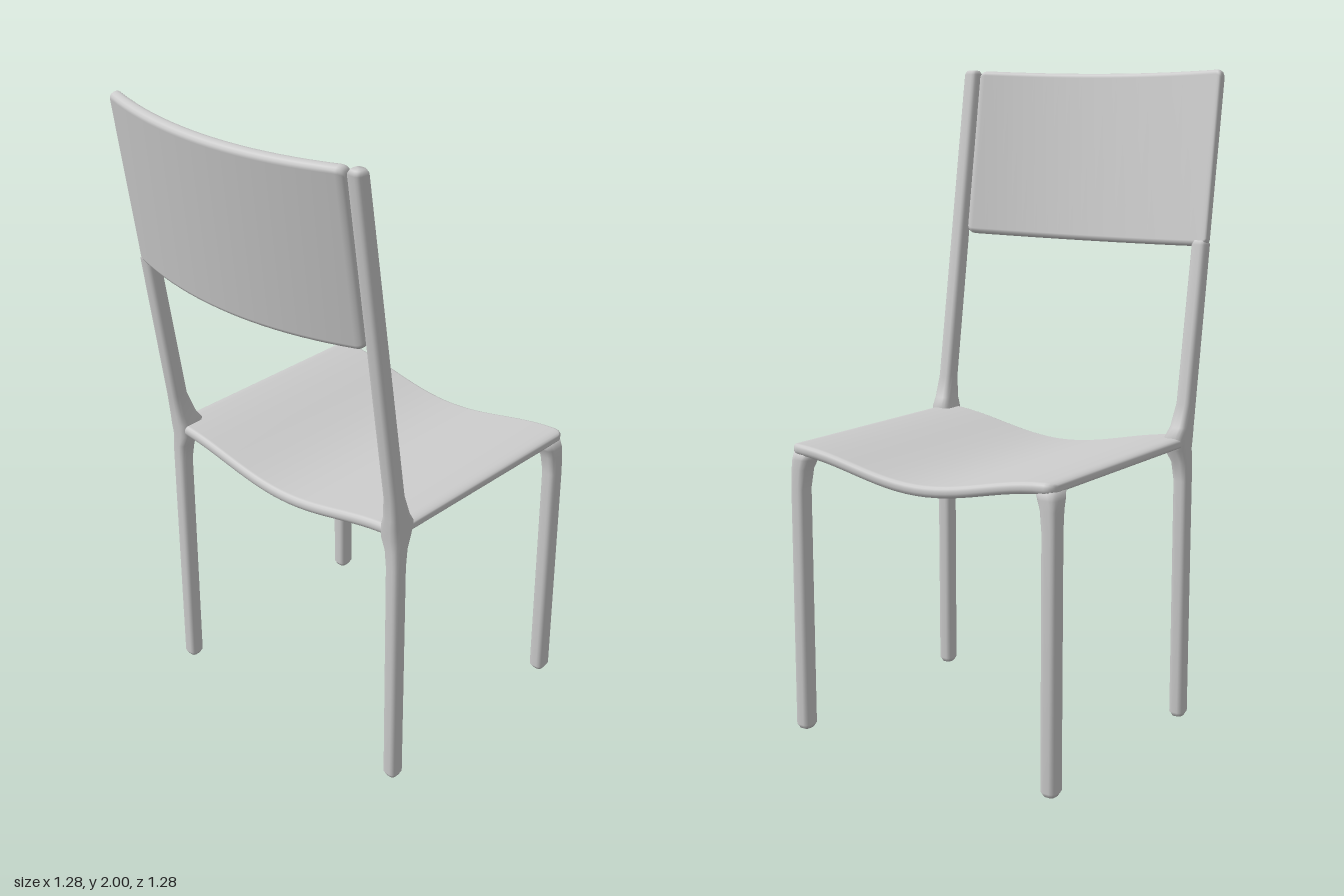
import * as THREE from 'three';

const material = new THREE.MeshStandardMaterial({ color: 0xcccccc });

// Rounded-rectangle outline, counterclockwise, as [a, b] pairs
function ring(ha, hb, r) {
  const pts = [];
  const signs = [[1, 1], [-1, 1], [-1, -1], [1, -1]];
  signs.forEach(([sa, sb], q) => {
    for (let i = 0; i < 4; i++) {
      const t = (q + i / 3) * Math.PI / 2;
      pts.push([sa * (ha - r) + r * Math.cos(t), sb * (hb - r) + r * Math.sin(t)]);
    }
  });
  return pts;
}

// Skin a closed solid over sections { o: centre, ha, hb, r }; axes a x b point along the sweep
function loft(name, sections, a, b) {
  const pos = [], index = [], n = 16;
  const put = (o, p, q) => pos.push(...o.clone().addScaledVector(a, p).addScaledVector(b, q).toArray());
  for (const s of sections) for (const [p, q] of ring(s.ha, s.hb, s.r)) put(s.o, p, q);
  for (let k = 0; k < sections.length - 1; k++) {
    for (let i = 0; i < n; i++) {
      const p = k * n + i, q = k * n + (i + 1) % n;
      index.push(p, q, q + n, p, q + n, p + n);
    }
  }
  // End caps
  const last = sections.length - 1, c0 = pos.length / 3;
  put(sections[0].o, 0, 0);
  put(sections[last].o, 0, 0);
  for (let i = 0; i < n; i++) {
    const j = (i + 1) % n;
    index.push(c0, j, i, c0 + 1, last * n + i, last * n + j);
  }
  const geo = new THREE.BufferGeometry();
  geo.setAttribute('position', new THREE.Float32BufferAttribute(pos, 3));
  geo.setIndex(index);
  geo.computeVertexNormals();
  const mesh = new THREE.Mesh(geo, material);
  mesh.name = name;
  return mesh;
}

const X = new THREE.Vector3(1, 0, 0);
const Y = new THREE.Vector3(0, 1, 0);
const Z = new THREE.Vector3(0, 0, 1);

// Upright member from rows [y, x, z, halfX, halfZ], mirrored by side
function upright(name, side, rows) {
  return loft(name, rows.map(([y, x, z, hx, hz]) => ({
    o: new THREE.Vector3(side * x, y, z), ha: hz, hb: hx, r: Math.min(hx, hz) * 0.65,
  })), Z, X);
}

// Stations along x with rounded ends: [x, inset]
function stations(x0, x1, r, steps) {
  const list = [];
  for (let i = 0; i < 4; i++) {
    const t = i / 4 * Math.PI / 2;
    list.push([x0 + r * (1 - Math.cos(t)), r * (1 - Math.sin(t))]);
  }
  for (let i = 0; i <= steps; i++) list.push([x0 + r + (x1 - x0 - 2 * r) * i / steps, 0]);
  for (let i = 3; i >= 0; i--) {
    const t = i / 4 * Math.PI / 2;
    list.push([x1 - r * (1 - Math.cos(t)), r * (1 - Math.sin(t))]);
  }
  return list;
}

export function createModel() {
  const model = new THREE.Group();
  const chair = new THREE.Group();
  chair.name = 'chair';
  chair.rotation.y = THREE.MathUtils.degToRad(119.4);
  model.add(chair);

  // Seat: thin sheet dished across its width
  const half = 0.0175;
  chair.add(loft('seat', stations(-0.468, 0.468, 0.03, 24).map(([x, inset]) => {
    const dip = 0.065 * Math.cos(Math.PI * x / 0.936) ** 2;
    const h = half - inset * 0.35;
    return { o: new THREE.Vector3(x, 0.9 - half - dip, 0.073), ha: h, hb: 0.393 - inset, r: h * 0.8 };
  }), Y, Z));

  // Height-to-depth rule of the leaning back posts
  const lean = (y) => -0.3 - 0.16 * (y - 0.93) / 1.07;

  for (const side of [-1, 1]) {
    const label = side > 0 ? 'Left' : 'Right';
    // Front legs flare inward under the seat
    chair.add(upright('frontLeg' + label, side, [
      [0, 0.45, 0.438, 0.017, 0.019],
      [0.014, 0.45, 0.438, 0.025, 0.028],
      [0.76, 0.45, 0.438, 0.025, 0.028],
      [0.82, 0.446, 0.434, 0.028, 0.031],
      [0.85, 0.44, 0.428, 0.033, 0.036],
      [0.875, 0.432, 0.42, 0.034, 0.042],
    ]));
    // Back legs continue as posts; the left one ends in the backrest
    const top = side > 0 ? 1.49 : 2;
    chair.add(upright('backLegAndPost' + label, side, [
      [0, 0.45, -0.298, 0.016, 0.017],
      [0.014, 0.45, -0.298, 0.024, 0.025],
      [0.76, 0.45, -0.298, 0.024, 0.026],
      [0.82, 0.447, -0.295, 0.027, 0.03],
      [0.86, 0.438, -0.286, 0.035, 0.04],
      [0.9, 0.441, -0.284, 0.033, 0.046],
      [0.93, 0.446, -0.294, 0.028, 0.037],
      [1.0, 0.45, lean(1), 0.025, 0.027],
      [top - 0.012, 0.45, lean(top), 0.024, 0.025],
      [top, 0.45, lean(top), 0.017, 0.018],
    ]));
  }

  // Backrest: tilted panel bowed backward in the middle
  const angle = Math.atan(0.16 / 1.07);
  const up = new THREE.Vector3(0, Math.cos(angle), -Math.sin(angle));
  const out = new THREE.Vector3(0, Math.sin(angle), Math.cos(angle));
  chair.add(loft('backrest', stations(-0.412, 0.474, 0.02, 20).map(([x, inset]) => {
    const t = (x - 0.031) / 0.443;
    const o = new THREE.Vector3(x, 1.735, lean(1.735)).addScaledVector(out, -0.072 * (1 - t * t));
    const h = 0.02 - inset * 0.5;
    return { o, ha: 0.266 - inset, hb: h, r: h * 0.8 };
  }), up, out));

  return model;
}
